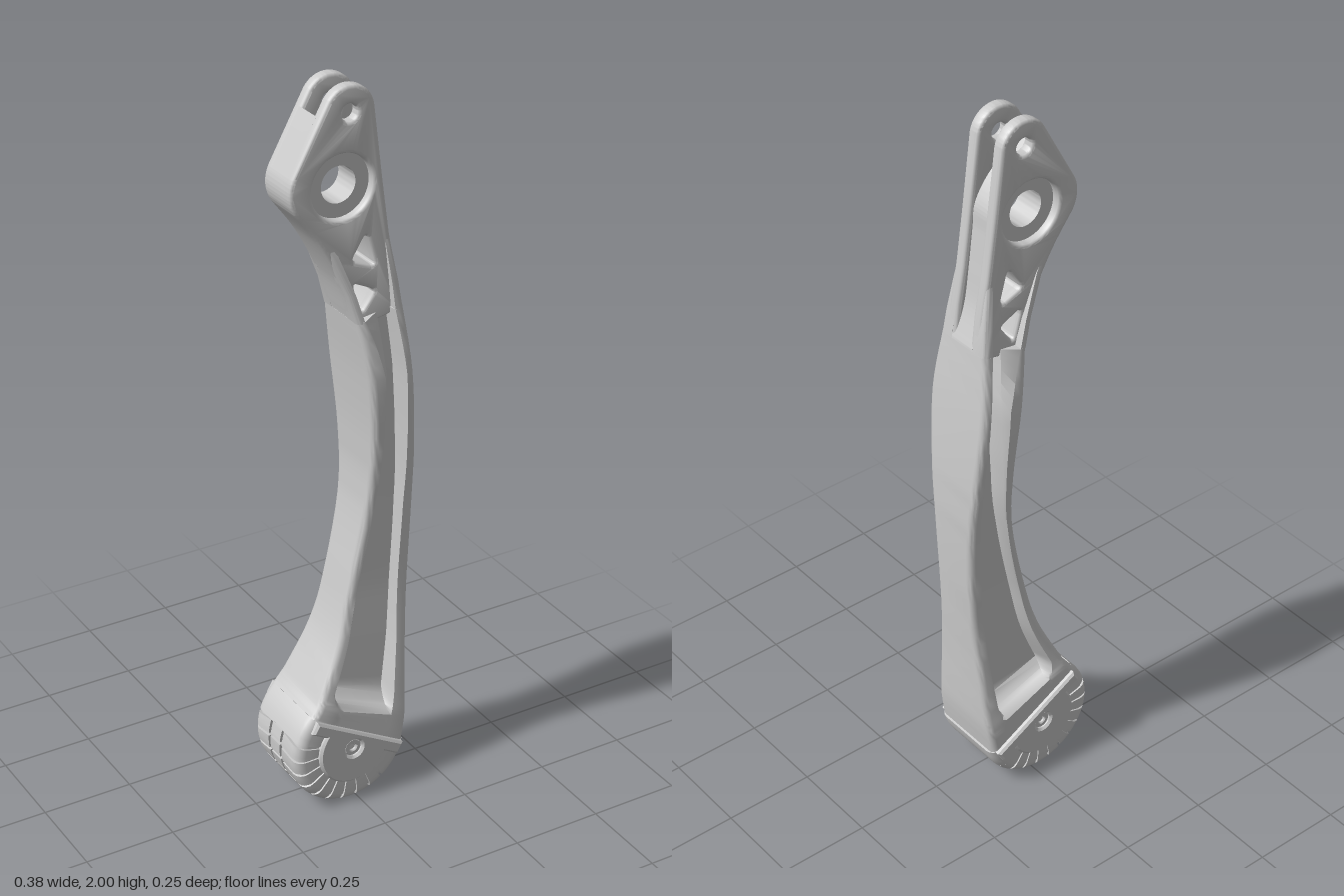
import * as THREE from 'three';
import { toCreasedNormals } from 'three/addons/utils/BufferGeometryUtils.js';

const grey = new THREE.MeshStandardMaterial({ color: 0xcccccc });
const V2 = (p) => new THREE.Vector2(p[0], p[1]);

function add(parent, name, geometry) {
  const mesh = new THREE.Mesh(toCreasedNormals(geometry, 0.6), grey);
  mesh.name = name;
  parent.add(mesh);
  return mesh;
}

// Skin a stack of rings (bottom to top) and close both ends
function loft(rings) {
  const n = rings[0].length, index = [];
  for (let i = 0; i < rings.length - 1; i++) {
    for (let j = 0; j < n; j++) {
      const a = i * n + j, b = i * n + (j + 1) % n;
      index.push(a, b, a + n, b, b + n, a + n);
    }
  }
  const cap = (ring) => THREE.ShapeUtils.triangulateShape(ring.map((p) => new THREE.Vector2(p[0], -p[2])), []);
  const top = (rings.length - 1) * n;
  cap(rings[0]).forEach(([a, b, c]) => index.push(a, c, b));
  cap(rings[rings.length - 1]).forEach(([a, b, c]) => index.push(top + a, top + b, top + c));
  const g = new THREE.BufferGeometry();
  g.setAttribute('position', new THREE.Float32BufferAttribute(rings.flat(2), 3));
  g.setIndex(index);
  return g;
}

// Rounded corner as [distance from the edge, depth], from the edge up to full depth h
function corner(r, h) {
  return [0, 1, 2, 3, 4].map((k) => {
    const a = (k / 4) * Math.PI / 2;
    return [r * (1 - Math.cos(a)), h - r * (1 - Math.sin(a))];
  });
}

// Extrude a shape between two depths with a rounded edge that stays inside the outline
function plate(shape, z0, z1, bevel, segments = 1) {
  const g = new THREE.ExtrudeGeometry(shape, {
    depth: z1 - z0 - 2 * bevel, curveSegments: 24, bevelEnabled: bevel > 0,
    bevelThickness: bevel, bevelSize: bevel, bevelOffset: -bevel, bevelSegments: segments,
  });
  return g.translate(0, 0, z0 + bevel);
}

function circleHole(x, y, r) {
  return new THREE.Path().absarc(x, y, r, 0, Math.PI * 2, true);
}

// Triangular opening with rounded corners
function triangleHole(points) {
  const path = new THREE.Path(), p = points.map(V2);
  p.forEach((c, i) => {
    const start = c.clone().lerp(p[(i + 2) % 3], 0.2), end = c.clone().lerp(p[(i + 1) % 3], 0.2);
    if (i) path.lineTo(start.x, start.y);
    else path.moveTo(start.x, start.y);
    path.quadraticCurveTo(c.x, c.y, end.x, end.y);
  });
  path.closePath();
  return path;
}

const triangles = [
  [[0.048, 1.612], [0.006, 1.545], [0.073, 1.52]],
  [[0.01, 1.485], [0.034, 1.4], [0.073, 1.455]],
];

// Left edge of the head, from the top of the lobe down to the shank
function finishHead(shape, boreRadius) {
  shape.absarc(-0.072, 1.75, 0.094, 2.6, 3.75, false);
  shape.splineThru([[-0.087, 1.61], [-0.03, 1.5], [0.004, 1.4], [0.014, 1.36]].map(V2));
  shape.holes.push(circleHole(-0.02, 1.745, boreRadius), ...triangles.map(triangleHole));
}

// Shank stations: left x, left y, right x, right y, half depth,
// flange edge, pocket start, depth at pocket start, pocket end, pocket floor
const stations = [
  [-0.137, 0.29, 0.14, 0.133, 0.112, 0.22, 0.24, 0.112, 0.82, 0.112],
  [-0.118, 0.315, 0.152, 0.205, 0.109, 0.22, 0.24, 0.109, 0.82, 0.109],
  [-0.1, 0.35, 0.158, 0.27, 0.101, 0.13, 0.145, 0.096, 0.84, 0.05],
  [-0.045, 0.47, 0.167, 0.44, 0.083, 0.14, 0.155, 0.078, 0.84, 0.045],
  [-0.01, 0.6, 0.177, 0.6, 0.071, 0.14, 0.155, 0.066, 0.81, 0.04],
  [0.04, 0.84, 0.185, 0.84, 0.077, 0.16, 0.18, 0.072, 0.77, 0.04],
  [0.05, 1.02, 0.18, 1.02, 0.094, 0.24, 0.27, 0.088, 0.78, 0.042],
  [0.034, 1.23, 0.163, 1.23, 0.107, 0.34, 0.45, 0.088, 0.82, 0.045],
  [0.008, 1.385, 0.144, 1.405, 0.086, 0.17, 0.5, 0.062, 0.8, 0.045],
];

function shankGeometry() {
  const rings = [], steps = 5, last = stations.length - 1;
  for (let k = 0; k <= last * steps; k++) {
    const i = Math.min(Math.floor(k / steps), last - 1), t = k / steps - i;
    const at = (c) => {
      const [p0, p1, p2, p3] = [i - 1, i, i + 1, i + 2].map((q) => stations[THREE.MathUtils.clamp(q, 0, last)][c]);
      if (c > 4) return p1 + (p2 - p1) * t;
      return p1 + 0.5 * t * (p2 - p0 + t * (2 * p0 - 5 * p1 + 4 * p2 - p3 + t * (3 * (p1 - p2) + p3 - p0)));
    };
    const [lx, ly, rx, ry, h, edge, p1, h1, p2, floor] = [0, 1, 2, 3, 4, 5, 6, 7, 8, 9].map(at);
    const left = corner(0.018, h).map(([d, z]) => [d / Math.hypot(rx - lx, ry - ly), z]);
    const right = left.map(([u, z]) => [1 - u, z]).reverse();
    const half = [...left, [edge, h], [p1, h1], [p1 + 0.04, floor], [p2 - 0.04, floor], [p2, h], ...right];
    const loop = [...half, ...half.map(([u, z]) => [u, -z]).reverse()];
    rings.push(loop.map(([u, z]) => [lx + (rx - lx) * u, ly + (ry - ly) * u, z]));
  }
  return loft(rings);
}

// Tapering rib with a rounded outer corner: rows of outer x, inner x, height, depth
function ribGeometry(rows) {
  return loft(rows.map(([outer, inner, y, z]) => {
    const s = Math.sign(inner - outer);
    const r = Math.min(0.018, z - 0.042, Math.abs(inner - outer) * 0.6);
    const ring = [...corner(r, z).map(([d, zc]) => [outer + s * d, y, zc]), [inner, y, z], [inner, y, 0.04], [outer, y, 0.04]];
    return s > 0 ? ring : ring.reverse();
  }));
}

// Piece of the sole: a profile of [radius, z] swept through an angle, slanted by the twist
function soleGeometry(halfAngle, profile, twist) {
  return loft([-1, -0.5, 0, 0.5, 1].map((k) => profile.map(([r, z]) => {
    const a = k * halfAngle + z * twist;
    return [r * Math.cos(a), r * Math.sin(a), z];
  })));
}

function createFoot() {
  const foot = new THREE.Group();
  foot.name = 'foot';
  foot.position.set(-0.02, 0.17, 0);
  foot.rotation.z = -0.518;

  // Clipped disc core
  const core = new THREE.Shape().absarc(0, 0, 0.163, Math.PI - 0.29, 2 * Math.PI + 0.29, false);
  add(foot, 'footCore', plate(core, -0.11, 0.11, 0.025, 4));

  // Plain blocks at both ends of the tread
  const shoulder = [[0.1, 0.114], ...corner(0.028, 0.17).map(([d, r]) => [r, 0.114 - d])];
  const back = shoulder.map(([r, z]) => [r, -z]).reverse();
  const endBlock = soleGeometry(0.24, [...shoulder, ...back], 0);
  for (const angle of [Math.PI - 0.05, 0.05]) add(foot, 'soleEnd', endBlock).rotation.z = angle;

  // Side covers with a recessed screw
  const cover = new THREE.Shape([[0.15, 0.01], [0.15, 0.046], [-0.15, 0.046], [-0.15, 0.01], [-0.105, 0.01]].map(V2));
  cover.absarc(0, 0, 0.103, Math.PI - 0.1, 2 * Math.PI + 0.1, false);
  cover.holes.push(circleHole(0, 0, 0.025));
  const screw = new THREE.Shape().absarc(0, 0, 0.025, 0, Math.PI * 2, false);
  screw.holes.push(circleHole(0, 0, 0.01));
  for (const s of [1, -1]) {
    const side = new THREE.Group();
    side.name = s > 0 ? 'frontCover' : 'backCover';
    side.scale.z = s;
    add(side, 'coverPlate', plate(cover, 0.095, 0.126, 0.006));
    add(side, 'screw', plate(screw, 0.1, 0.118, 0.003));
    foot.add(side);
  }

  // Tread lugs in three rows, the outer rows slanted into chevrons
  const count = 10, pitch = (Math.PI - 0.38) / count;
  const outer = soleGeometry(0.41 * pitch, [...shoulder, [0.17, 0.034], [0.1, 0.034]], 0.8);
  const middle = soleGeometry(0.41 * pitch, [[0.12, 0.024], [0.17, 0.024], [0.17, -0.024], [0.12, -0.024]], 0);
  for (let i = 0; i < count; i++) {
    const row = new THREE.Group();
    row.name = 'treadRow';
    row.rotation.z = Math.PI + 0.15 + (i + 0.5) * pitch;
    for (const s of [1, -1]) add(row, 'outerLug', outer).scale.z = s;
    add(row, 'middleLug', middle);
    foot.add(row);
  }
  return foot;
}

export function createModel() {
  const model = new THREE.Group();
  model.name = 'legLink';

  add(model, 'shank', shankGeometry());

  // Outer cheeks of the fork
  const cheek = new THREE.Shape([[0.014, 1.36], [0.144, 1.385], [0.131, 1.5], [0.113, 1.6], [0.094, 1.74]].map(V2));
  cheek.absarc(0, 1.93, 0.07, 0.15, 2.6, false);
  finishHead(cheek, 0.085);
  cheek.holes.push(circleHole(0, 1.93, 0.022));

  // Web between the cheeks, cut back to leave the rod slot
  const web = new THREE.Shape([[0.014, 1.36], [0.146, 1.375], [0.143, 1.41]].map(V2));
  web.splineThru([[0.113, 1.5], [0.098, 1.6], [0.086, 1.7], [0.077, 1.77], [0.033, 1.835], [-0.03, 1.88], [-0.08, 1.93]].map(V2));
  finishHead(web, 0.048);
  add(model, 'headWeb', plate(web, -0.04, 0.04, 0));

  // Each cheek with the ribs that flare out into the shank
  for (const s of [1, -1]) {
    const side = new THREE.Group();
    side.name = s > 0 ? 'frontCheek' : 'backCheek';
    side.scale.z = s;
    add(side, 'cheekPlate', plate(cheek, 0.028, 0.063, 0.01, 3));
    add(side, 'innerRib', ribGeometry([
      [0.0085, 0.031, 1.383, 0.086], [-0.013, 0.008, 1.46, 0.079],
      [-0.06, -0.035, 1.57, 0.066], [-0.085, -0.07, 1.62, 0.055],
    ]));
    add(side, 'outerRib', ribGeometry([
      [0.1435, 0.117, 1.4, 0.086], [0.134, 0.111, 1.47, 0.079], [0.117, 0.1, 1.57, 0.066], [0.108, 0.098, 1.62, 0.055],
    ]));
    model.add(side);
  }

  model.add(createFoot());
  return model;
}
